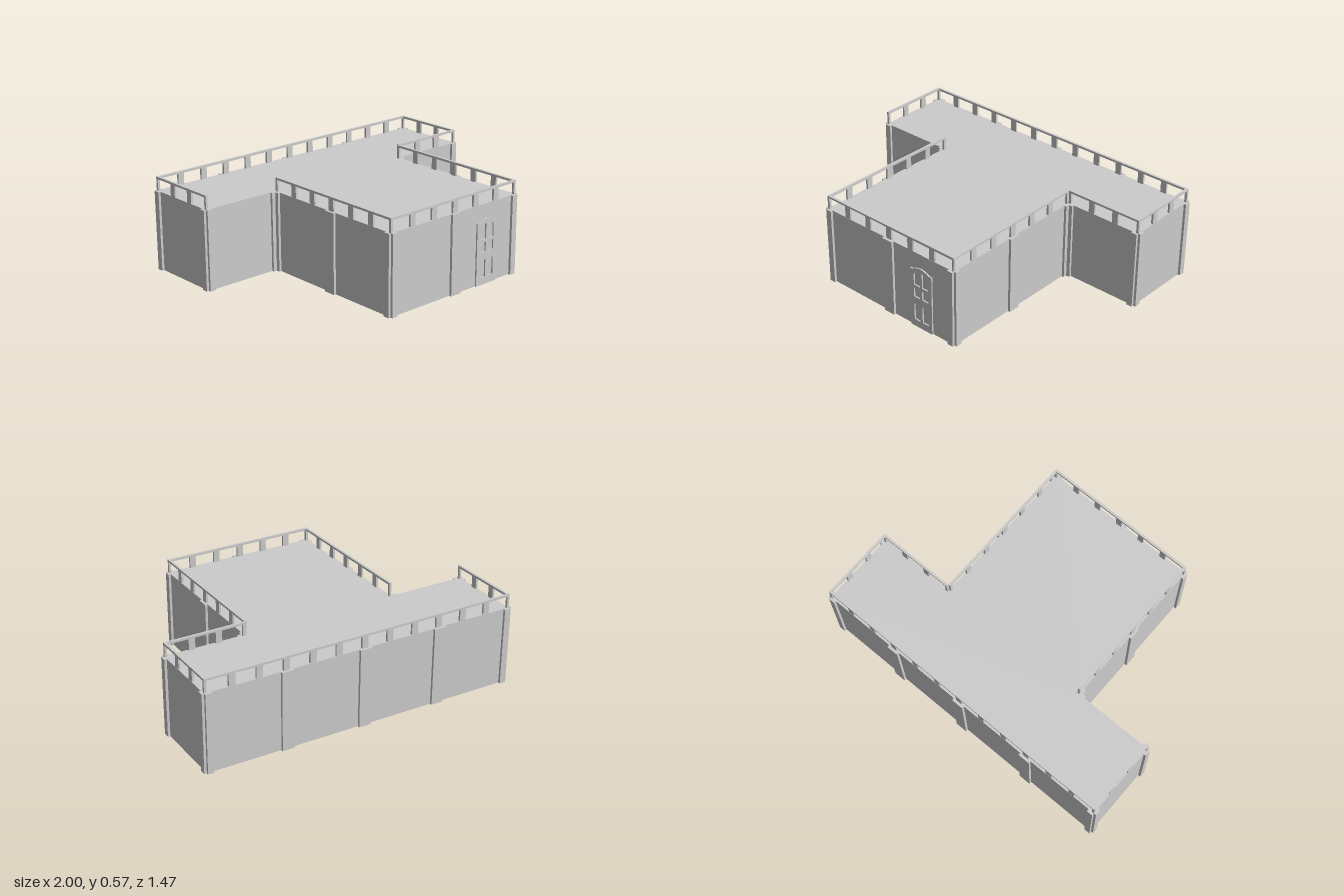
import * as THREE from 'three';

const H = 0.483, RAIL_TOP = 0.567, T = 0.015;
const solid = new THREE.MeshStandardMaterial({ color: 0xcccccc, flatShading: true });
const sheet = new THREE.MeshStandardMaterial({ color: 0xcccccc, flatShading: true, side: THREE.DoubleSide });

// T-shaped plan, walked so the outside lies along each wall's local +z.
// Each corner starts a wall: [x, z, middle pilasters, railing bays]
const PLAN = [
  [-0.49, 0.72, 1, 6],
  [0.49, 0.72, 1, 6],
  [0.49, -0.245, 0, 3],
  [0.985, -0.245, 0, 3],
  [0.985, -0.72, 3, 12],
  [-0.985, -0.72, 0, 3],
  [-0.985, -0.245, 0, 0],
  [-0.49, -0.245, 1, 6],
];

function box(parent, name, w, h, d, x, y, z) {
  const mesh = new THREE.Mesh(new THREE.BoxGeometry(w, h, d), solid);
  mesh.name = name;
  mesh.position.set(x, y, z);
  parent.add(mesh);
}

function wallSide([ax, az, middles, bays], [bx, bz]) {
  const side = new THREE.Group();
  side.name = 'wallSide';
  const len = Math.hypot(bx - ax, bz - az);
  side.position.set((ax + bx) / 2, 0, (az + bz) / 2);
  side.rotation.y = Math.atan2(az - bz, bx - ax);

  const wall = new THREE.Mesh(new THREE.PlaneGeometry(len, H), sheet);
  wall.name = 'wall';
  wall.position.y = H / 2;
  side.add(wall);

  // Narrow pilasters at both ends, wide ones evenly between
  for (let i = 0; i <= middles + 1; i++) {
    const end = i === 0 ? 1 : i === middles + 1 ? -1 : 0;
    const w = end ? 0.038 : 0.075;
    const x = -len / 2 + (len * i) / (middles + 1) + (end * w) / 2;
    box(side, 'pilaster', w, H, T, x, H / 2, T / 2);
  }

  // Railing: flat posts under a thin top rail
  if (bays) {
    box(side, 'topRail', len, 0.013, T, 0, RAIL_TOP - 0.0065, -T / 2);
    for (let i = 0; i <= bays; i++) {
      const end = i === 0 ? 1 : i === bays ? -1 : 0;
      const w = end ? T : 0.039;
      const x = -len / 2 + (len * i) / bays + (end * w) / 2;
      box(side, 'railingPost', w, 0.087, T - 0.002, x, 0.5125, -T / 2);
    }
  }
  return side;
}

// Panel opening; outer top corner is rounded when round is set
function panel(inner, outer, y0, y1, round) {
  const p = new THREE.Path();
  p.moveTo(inner, y0);
  p.lineTo(outer, y0);
  if (round) {
    p.lineTo(outer, y1 - 0.035);
    p.quadraticCurveTo(outer, y1 - 0.004, inner + (outer - inner) * 0.4, y1);
  } else p.lineTo(outer, y1);
  p.lineTo(inner, y1);
  p.closePath();
  return p;
}

function door() {
  const s = new THREE.Shape();
  s.moveTo(-0.08, 0);
  s.lineTo(0.08, 0);
  s.lineTo(0.08, 0.377);
  s.lineTo(0.06, 0.377);
  s.quadraticCurveTo(0.035, 0.393, 0, 0.396);
  s.quadraticCurveTo(-0.035, 0.393, -0.06, 0.377);
  s.lineTo(-0.08, 0.377);
  s.closePath();
  for (const m of [-1, 1]) {
    s.holes.push(
      panel(m * 0.008, m * 0.054, 0.275, 0.367, true),
      panel(m * 0.008, m * 0.054, 0.197, 0.255, false),
      panel(m * 0.008, m * 0.054, 0.045, 0.15, false),
    );
  }
  const geo = new THREE.ExtrudeGeometry(s, { depth: 0.018, bevelEnabled: false, curveSegments: 6 });
  const mesh = new THREE.Mesh(geo, solid);
  mesh.name = 'door';
  mesh.position.set(0.25, 0, 0.711);
  return mesh;
}

export function createModel() {
  const model = new THREE.Group();
  model.name = 'building';

  PLAN.forEach((a, i) => model.add(wallSide(a, PLAN[(i + 1) % PLAN.length])));

  // Flat roof; the building is open underneath
  const outline = new THREE.Shape(PLAN.map(([x, z]) => new THREE.Vector2(x, -z)));
  const roof = new THREE.Mesh(new THREE.ShapeGeometry(outline), sheet);
  roof.name = 'roof';
  roof.rotation.x = -Math.PI / 2;
  roof.position.y = H;
  model.add(roof);

  model.add(door());
  return model;
}
